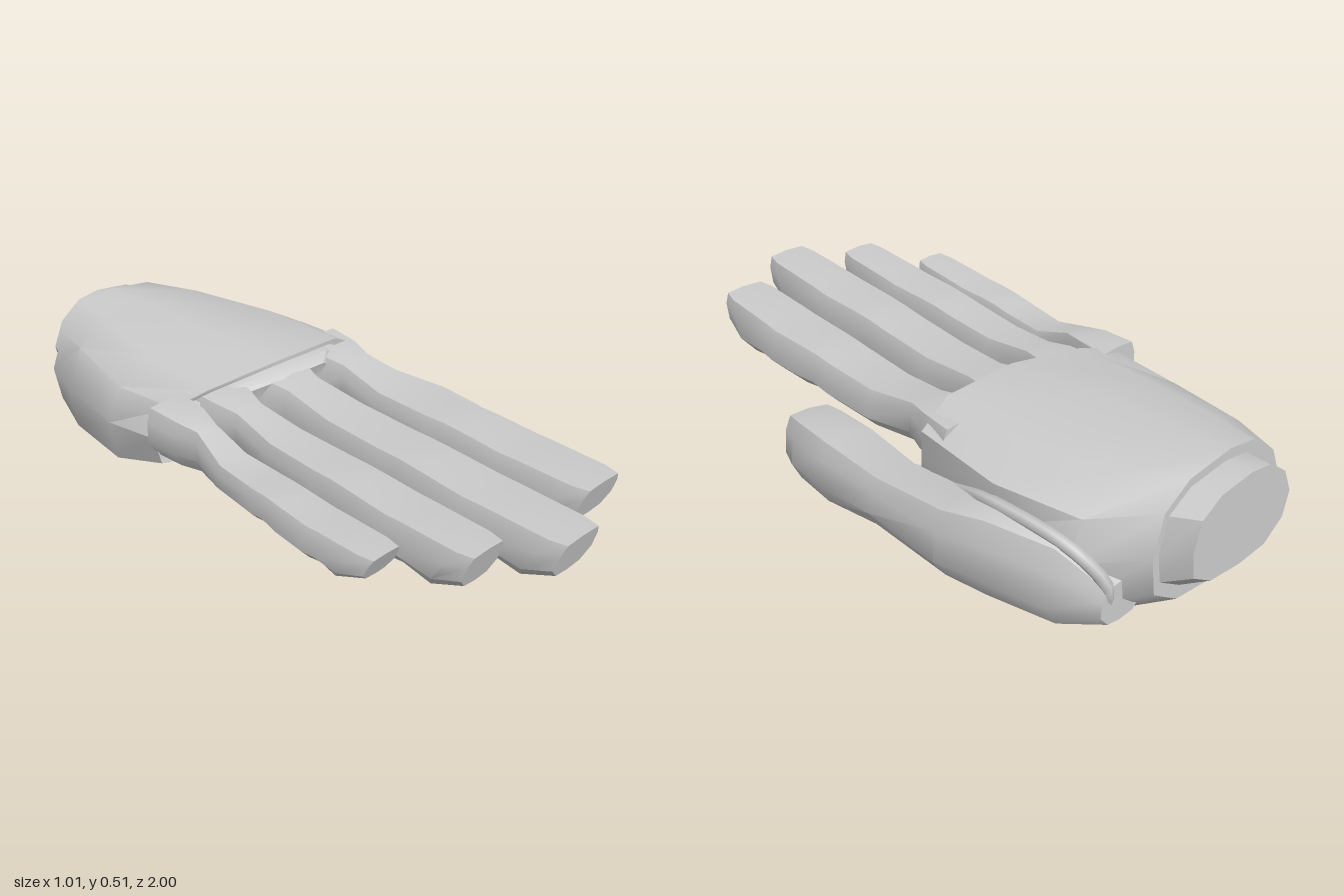
import * as THREE from 'three';
import { toCreasedNormals } from 'three/addons/utils/BufferGeometryUtils.js';

const material = new THREE.MeshStandardMaterial({ color: 0xcccccc });

// Skin a list of rings (counter-clockwise seen from +z, ordered back to front), capped at both ends
function loft(name, rings, crease = 0.6) {
  const n = rings[0].length, pos = [], index = [];
  rings.forEach(r => r.forEach(p => pos.push(...p)));
  for (let i = 0; i < rings.length - 1; i++) {
    for (let j = 0; j < n; j++) {
      const k = (j + 1) % n, a = i * n + j, b = i * n + k;
      index.push(a, b, a + n, b, b + n, a + n);
    }
  }
  [0, rings.length - 1].forEach((ri, end) => {
    const centre = pos.length / 3;
    pos.push(...[0, 1, 2].map(c => rings[ri].reduce((s, p) => s + p[c], 0) / n));
    for (let j = 0; j < n; j++) {
      const a = ri * n + j, b = ri * n + (j + 1) % n;
      if (end) index.push(centre, a, b); else index.push(centre, b, a);
    }
  });
  const g = new THREE.BufferGeometry();
  g.setAttribute('position', new THREE.Float32BufferAttribute(pos, 3));
  g.setIndex(index);
  const mesh = new THREE.Mesh(toCreasedNormals(g, crease), material);
  mesh.name = name;
  return mesh;
}

// Squarish section with flat top and bevelled underside
const SECTION = [[1, -0.35], [0.97, 0.45], [0.78, 0.93], [0, 1], [-0.78, 0.93],
  [-0.97, 0.45], [-1, -0.35], [-0.62, -0.9], [0, -1], [0.62, -0.9]];
// slant pushes the top of the section forward, roll turns it about z
function section(z, cx, hw, y0, y1, slant = 0, roll = 0) {
  const c = Math.cos(roll), s = Math.sin(roll), cy = (y0 + y1) / 2, hh = (y1 - y0) / 2;
  return SECTION.map(([u, v]) => [cx + hw * (u * c - v * s), cy + hh * (u * s + v * c), z + slant * v]);
}

const scaled = (ring, cx, cy, sx, sy, z) =>
  ring.map(p => [cx + (p[0] + 0.145) * sx, cy + (p[1] - 0.29) * sy, z]);
const inset = (ring, s, dz) =>
  ring.map(([x, y, z]) => [-0.08 + (x + 0.08) * s, 0.345 + (y - 0.345) * s, z + dz]);
const at = (z, pts) => pts.map(([x, y]) => [x, y, z]);

function finger(name, [tipZ, baseX, tipX, baseHW, tipHW, top, bottom]) {
  const z0 = -0.12, len = tipZ - z0;
  // fraction of length, half width, bottom and top
  const rows = [
    [0.2, baseHW * 0.4 + tipHW * 0.6, 0.018, 0.012],
    [0.40, tipHW * 0.93, 0.018, 0.008],
    [0.47, tipHW * 0.93, 0.028, 0.004],
    [0.55, tipHW * 0.96, 0.014, 0.004],
    [0.69, tipHW, 0.01, 0.008],
    [0.75, tipHW * 0.98, 0.018, 0.005]];
  const lerp = t => baseX + (tipX - baseX) * Math.min(1, t / 0.6);
  const rings = [
    section(-0.28, baseX, baseHW + 0.035, 0.27, 0.45),
    section(-0.17, baseX, baseHW + 0.025, 0.275, 0.447),
    section(-0.09, baseX, baseHW, 0.285, 0.435),
    ...rows.map(([t, hw, b, d]) => section(z0 + len * t, lerp(t), hw, bottom + b, top - d)),
    section(tipZ - 0.1, tipX, tipHW * 0.95, bottom, top, 0.05),
    section(tipZ - 0.02, tipX, tipHW * 0.8, bottom + 0.05, top, 0.02)];
  return loft(name, rings, 0.65);
}

export function createModel() {
  const hand = new THREE.Group();
  hand.name = 'glovedHand';

  // Glove outline at the wrist, heel, middle and knuckle opening
  const back = at(-0.92, [[0.12, 0.28], [0.09, 0.42], [0, 0.49], [-0.16, 0.515], [-0.26, 0.5], [-0.36, 0.42],
    [-0.41, 0.3], [-0.39, 0.18], [-0.3, 0.09], [-0.16, 0.07], [0, 0.08], [0.1, 0.15]]);
  const heel = at(-0.77, [[0.28, 0.26], [0.24, 0.39], [0.1, 0.475], [-0.13, 0.51], [-0.28, 0.49], [-0.39, 0.43],
    [-0.45, 0.3], [-0.43, 0.15], [-0.3, 0.065], [-0.03, 0.002], [0.14, 0.015], [0.24, 0.1]]);
  const middle = at(-0.5, [[0.325, 0.26], [0.31, 0.39], [0.19, 0.465], [-0.1, 0.5], [-0.3, 0.475], [-0.43, 0.41],
    [-0.48, 0.3], [-0.46, 0.16], [-0.3, 0.09], [-0.03, 0.05], [0.16, 0.06], [0.28, 0.16]]);
  const front = [[0.31, 0.3, -0.19], [0.315, 0.41, -0.2], [0.2, 0.475, -0.18], [-0.05, 0.485, -0.18],
    [-0.3, 0.46, -0.22], [-0.41, 0.43, -0.25], [-0.475, 0.34, -0.27], [-0.46, 0.25, -0.26],
    [-0.31, 0.225, -0.23], [-0.02, 0.2, -0.19], [0.2, 0.22, -0.18], [0.3, 0.25, -0.18]];
  hand.add(loft('glove', [back, heel, middle, front, inset(front, 0.91, 0), inset(front, 0.89, -0.06)], 0.7));

  // Wrist stub
  hand.add(loft('wrist', [
    scaled(back, -0.145, 0.325, 0.76, 0.7, -1),
    scaled(back, -0.13, 0.295, 0.88, 0.83, -0.91)]));

  // Knuckle body inside the glove opening
  hand.add(loft('knuckles', [inset(front, 0.86, -0.1), inset(front, 0.83, 0.01), inset(front, 0.68, 0.04)]));

  // tip z, base x, tip x, base half width, tip half width, top, bottom
  const fingers = {
    indexFinger: [0.875, 0.205, 0.22, 0.07, 0.105, 0.42, 0.245],
    middleFinger: [0.995, -0.025, -0.037, 0.08, 0.104, 0.43, 0.245],
    ringFinger: [0.86, -0.245, -0.255, 0.06, 0.09, 0.425, 0.25],
    littleFinger: [0.67, -0.41, -0.434, 0.045, 0.075, 0.4, 0.262]
  };
  for (const [name, data] of Object.entries(fingers)) hand.add(finger(name, data));

  // Thumb, running from the heel of the palm to a blunt tip
  hand.add(loft('thumb', [
    section(-0.86, 0.16, 0.08, 0.06, 0.2),
    section(-0.74, 0.21, 0.125, 0.02, 0.32),
    section(-0.55, 0.29, 0.13, 0.045, 0.345),
    section(-0.42, 0.335, 0.125, 0.06, 0.325),
    section(-0.15, 0.385, 0.092, 0.1, 0.28, 0, 0.12),
    section(0.07, 0.39, 0.107, 0.062, 0.292, 0, 0.12),
    section(0.22, 0.392, 0.1, 0.068, 0.29, 0, 0.12),
    section(0.275, 0.388, 0.09, 0.095, 0.28, 0.008, 0.12)], 0.65));

  // Raised glove edge around the thumb root
  const rimPath = new THREE.CatmullRomCurve3([[0.31, 0.29, -0.34], [0.32, 0.34, -0.52], [0.275, 0.31, -0.77],
    [0.215, 0.2, -0.85], [0.19, 0.07, -0.82]].map(p => new THREE.Vector3(...p)));
  const rim = new THREE.Mesh(new THREE.TubeGeometry(rimPath, 16, 0.02, 6), material);
  rim.name = 'thumbOpeningEdge';
  hand.add(rim);

  return hand;
}
